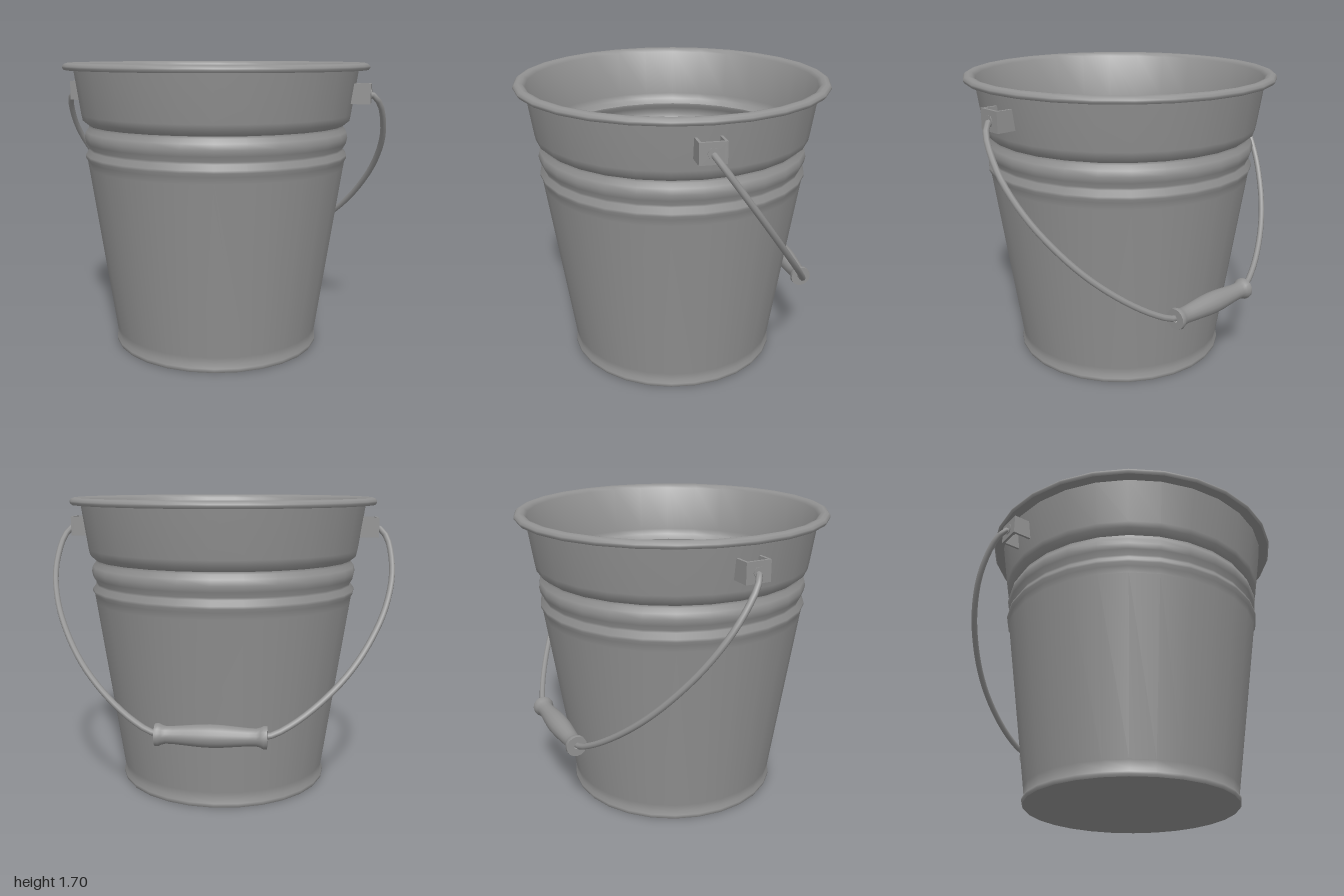
import * as THREE from 'three';
import { toCreasedNormals } from 'three/addons/utils/BufferGeometryUtils.js';

const material = new THREE.MeshStandardMaterial({ color: 0x929292, side: THREE.DoubleSide });

function addMesh(parent, name, geometry) {
  const mesh = new THREE.Mesh(geometry, material);
  mesh.name = name;
  parent.add(mesh);
  return mesh;
}

function lathe(profile, segments) {
  const points = profile.map(([r, y]) => new THREE.Vector2(r, y));
  return toCreasedNormals(new THREE.LatheGeometry(points, segments), 0.85);
}

// Thin-walled pail: foot bead, tapered wall, pressed rib and rolled rim
function pailGeometry() {
  const wall = [
    [0.614, 0.045], [0.62, 0.09], [0.764, 1.09], [0.77, 1.13], [0.781, 1.15], [0.781, 1.165],
    [0.76, 1.193], [0.76, 1.206], [0.777, 1.235], [0.784, 1.268], [0.777, 1.3],
    [0.758, 1.324], [0.758, 1.337], [0.792, 1.365], [0.799, 1.4], [0.836, 1.655],
  ];
  const rim = [
    [0.89, 1.655], [0.899, 1.667], [0.899, 1.676], [0.888, 1.689], [0.87, 1.695],
    [0.848, 1.69], [0.83, 1.672],
  ];
  const inside = wall.slice(0, -1).reverse().map(([r, y]) => [r - 0.008, y]);
  return lathe([
    [0, 0], [0.618, 0], [0.625, 0.012], [0.624, 0.025], ...wall, ...rim, ...inside,
    [0.605, 0.02], [0, 0.02],
  ], 28);
}

// U-shaped bracket, open above and below, that holds one end of the bail
function createEar(name) {
  const ear = new THREE.Group();
  ear.name = name;
  const bottom = 1.466, top = 1.58, outer = 0.91, sheet = 0.014;
  const plate = addMesh(ear, 'earPlate', new THREE.BoxGeometry(sheet, top - bottom, 0.144));
  plate.position.set(outer - sheet / 2, (top + bottom) / 2, 0);

  // Flanges are cut to follow the slope of the wall
  const outline = new THREE.Shape([
    [0.801, bottom], [outer, bottom], [outer, top], [0.814, top],
  ].map(([x, y]) => new THREE.Vector2(x, y)));
  for (const z of [-0.072, 0.072 - sheet]) {
    const geometry = new THREE.ExtrudeGeometry(outline, { depth: sheet, bevelEnabled: false });
    addMesh(ear, 'earFlange', geometry).position.z = z;
  }

  const stop = addMesh(ear, 'bailStop', new THREE.CylinderGeometry(0.032, 0.032, 0.035, 6));
  stop.rotation.z = Math.PI / 2;
  stop.position.set(0.897, 1.522, 0);
  return ear;
}

// The bail lies in a tilted plane hinged at the ears
const hinge = new THREE.Vector3(0, 1.52, 0);
const gripCentre = new THREE.Vector3(0, 0.468, -0.752);

function bailGeometry() {
  // [x, share of the way from hinge to grip]
  const half = [
    [0.87, 0], [0.925, 0.008], [0.962, 0.06], [0.98, 0.15], [0.98, 0.24], [0.96, 0.335],
    [0.915, 0.45], [0.84, 0.575], [0.767, 0.67], [0.685, 0.755], [0.57, 0.85], [0.44, 0.935],
    [0.32, 0.99], [0.24, 1],
  ];
  const whole = [...half, ...half.map(([x, t]) => [-x, t]).reverse()];
  const points = whole.map(([x, t]) => hinge.clone().lerp(gripCentre, t).setX(x));
  return new THREE.TubeGeometry(new THREE.CatmullRomCurve3(points), 72, 0.0175, 8);
}

// Turned grip with flared ends and a swollen middle
function gripGeometry() {
  const half = [
    [0.016, -0.298], [0.06, -0.298], [0.062, -0.28], [0.053, -0.262], [0.047, -0.24],
    [0.048, -0.2], [0.054, -0.13], [0.06, -0.06],
  ];
  const profile = [...half, [0.062, 0], ...half.map(([r, y]) => [r, -y]).reverse()];
  return lathe(profile, 16);
}

export function createModel() {
  const model = new THREE.Group();
  model.name = 'bucket';

  addMesh(model, 'pail', pailGeometry());

  const rightEar = createEar('rightEar');
  rightEar.rotation.y = Math.PI;
  model.add(createEar('leftEar'), rightEar);

  addMesh(model, 'bail', bailGeometry());

  const grip = addMesh(model, 'grip', gripGeometry());
  grip.rotation.z = Math.PI / 2;
  grip.position.copy(gripCentre);
  return model;
}
